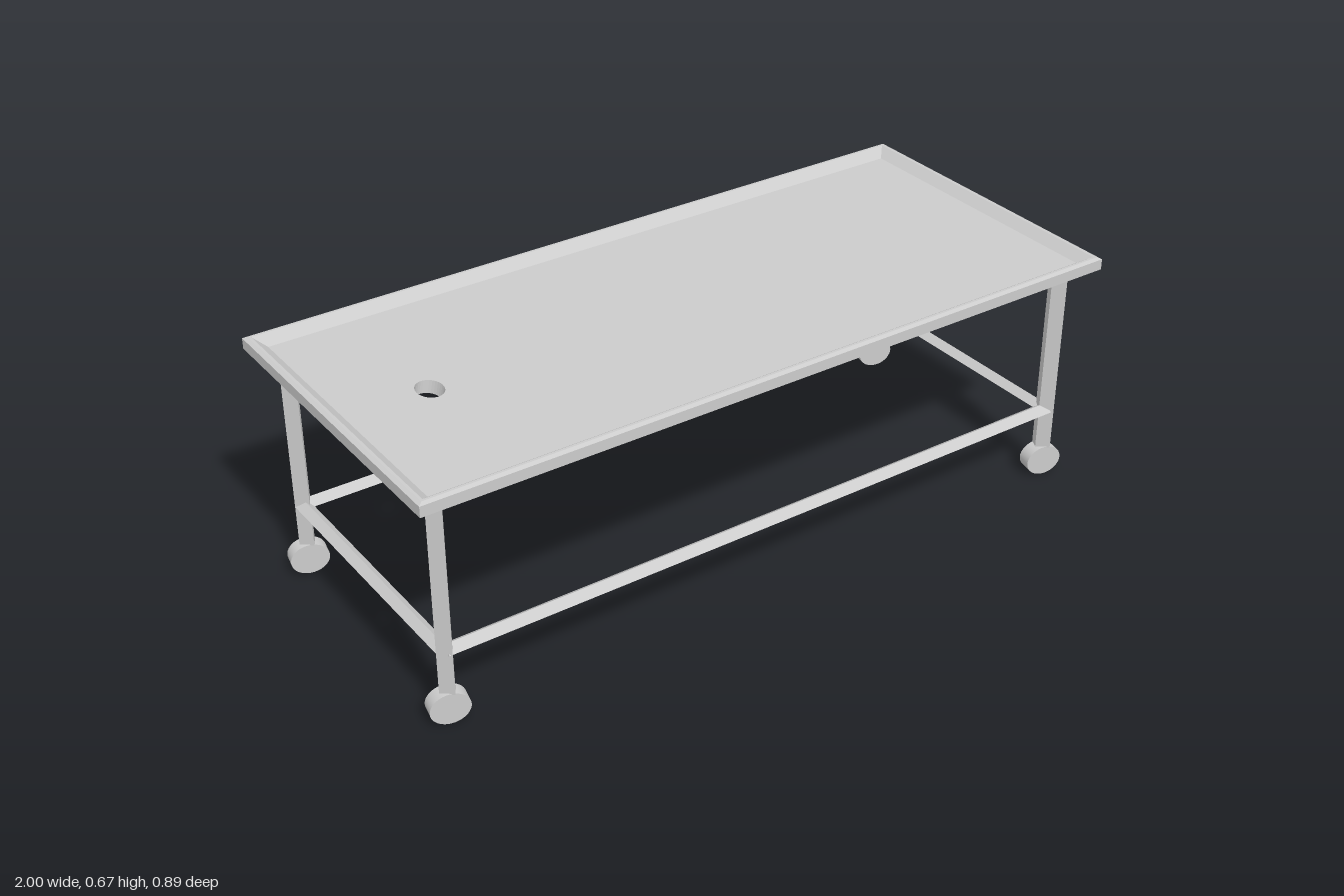
import * as THREE from 'three';

const flat = new THREE.MeshStandardMaterial({ color: 0xcccccc, flatShading: true, side: THREE.DoubleSide });
const smooth = new THREE.MeshStandardMaterial({ color: 0xcccccc });

const LEG_X = 0.928, LEG_Z = 0.363, Z_SHIFT = 0.003;
const BOTTOM = 0.612, FLOOR = 0.645, BAR_Y = 0.197;

// Skins a list of rings, each ring an equal number of [x, y, z] corners
function loft(rings) {
  const pos = [];
  for (let r = 0; r < rings.length - 1; r++) {
    const a = rings[r], b = rings[r + 1], n = a.length;
    for (let i = 0; i < n; i++) {
      const j = (i + 1) % n;
      pos.push(...a[i], ...a[j], ...b[j], ...a[i], ...b[j], ...b[i]);
    }
  }
  const geo = new THREE.BufferGeometry();
  geo.setAttribute('position', new THREE.Float32BufferAttribute(pos, 3));
  geo.computeVertexNormals();
  return geo;
}

function add(parent, name, geo, mat, x = 0, y = 0, z = 0) {
  const mesh = new THREE.Mesh(geo, mat);
  mesh.name = name;
  mesh.position.set(x, y, z);
  parent.add(mesh);
  return mesh;
}

const rect = (hx, hz, y) => [[hx, y, hz], [hx, y, -hz], [-hx, y, -hz], [-hx, y, hz]];

// Oval drain outline
const DRAIN_RX = 0.034, DRAIN_RZ = 0.043;
function drainRing(cx, y, n = 32) {
  return Array.from({ length: n }, (_, i) => {
    const t = (i / n) * Math.PI * 2;
    return [cx + DRAIN_RX * Math.cos(t), y, -DRAIN_RZ * Math.sin(t)];
  });
}

// Flat rectangle with the drain cut out, facing up or down
function panel(hx, hz, ring, up) {
  const shape = new THREE.Shape(rect(hx, hz, 0).map(([x, , z]) => new THREE.Vector2(x, -z)));
  shape.holes.push(new THREE.Path(ring.map(([x, , z]) => new THREE.Vector2(x, -z))));
  return new THREE.ShapeGeometry(shape).rotateX(up ? -Math.PI / 2 : Math.PI / 2);
}

function createTray() {
  const tray = new THREE.Group();
  tray.name = 'tray';
  const topRing = drainRing(-0.731, FLOOR), lowRing = drainRing(-0.738, BOTTOM);
  // Bevelled outside, rim and sloping inside wall
  add(tray, 'trayRim', loft([
    rect(0.968, 0.414, BOTTOM),
    rect(1, 0.444, 0.633),
    rect(1, 0.444, 0.662),
    rect(0.99, 0.435, 0.667),
    rect(0.983, 0.428, 0.667),
    rect(0.955, 0.397, FLOOR),
  ]), flat);
  add(tray, 'trayFloor', panel(0.955, 0.397, topRing, true), flat, 0, FLOOR, 0);
  add(tray, 'trayUnderside', panel(0.968, 0.414, lowRing, false), flat, 0, BOTTOM, 0);
  add(tray, 'drainWall', loft([topRing, lowRing]), flat);
  return tray;
}

// Skewed diamond post, closed at the foot
function legGeometry() {
  const corners = [[0.0215, 0], [-0.007, -0.027], [-0.0215, 0], [0.007, 0.027]];
  const ring = (y, s = 1) => corners.map(([x, z]) => [x * s, y, z * s]);
  return loft([ring(0.083, 0.001), ring(0.083), ring(BOTTOM + 0.005)]);
}

// Slightly oval wheel, turned a little about its upright
function wheelGeometry() {
  return new THREE.CylinderGeometry(0.0425, 0.0425, 0.041, 40)
    .rotateX(Math.PI / 2).scale(1.19, 1, 1).rotateY(-0.215);
}

// Diamond-section bar along x or z
function barGeometry(length, half, alongX) {
  const geo = new THREE.CylinderGeometry(1, 1, length, 4);
  return alongX
    ? geo.rotateZ(Math.PI / 2).scale(1, 0.0175, half)
    : geo.rotateX(Math.PI / 2).scale(half, 0.0175, 1);
}

export function createModel() {
  const model = new THREE.Group();
  model.name = 'rollingTable';
  model.add(createTray());

  const base = new THREE.Group();
  base.name = 'base';
  base.position.z = Z_SHIFT;
  model.add(base);

  const leg = legGeometry(), wheel = wheelGeometry();
  for (const sx of [-1, 1]) {
    for (const sz of [-1, 1]) {
      const place = (sz > 0 ? 'front' : 'back') + (sx > 0 ? 'Left' : 'Right');
      add(base, place + 'Leg', leg, flat, sx * LEG_X, 0, sz * LEG_Z);
      add(base, place + 'Wheel', wheel, smooth, sx * LEG_X, 0.0425, sz * LEG_Z);
    }
  }

  // Lower stretchers between the legs
  const longBar = barGeometry(LEG_X * 2, 0.025, true);
  const shortBar = barGeometry(LEG_Z * 2, 0.021, false);
  for (const s of [-1, 1]) {
    add(base, s > 0 ? 'frontBar' : 'backBar', longBar, flat, 0, BAR_Y, s * LEG_Z);
    add(base, s > 0 ? 'leftBar' : 'rightBar', shortBar, flat, s * LEG_X, BAR_Y, 0);
  }
  return model;
}
